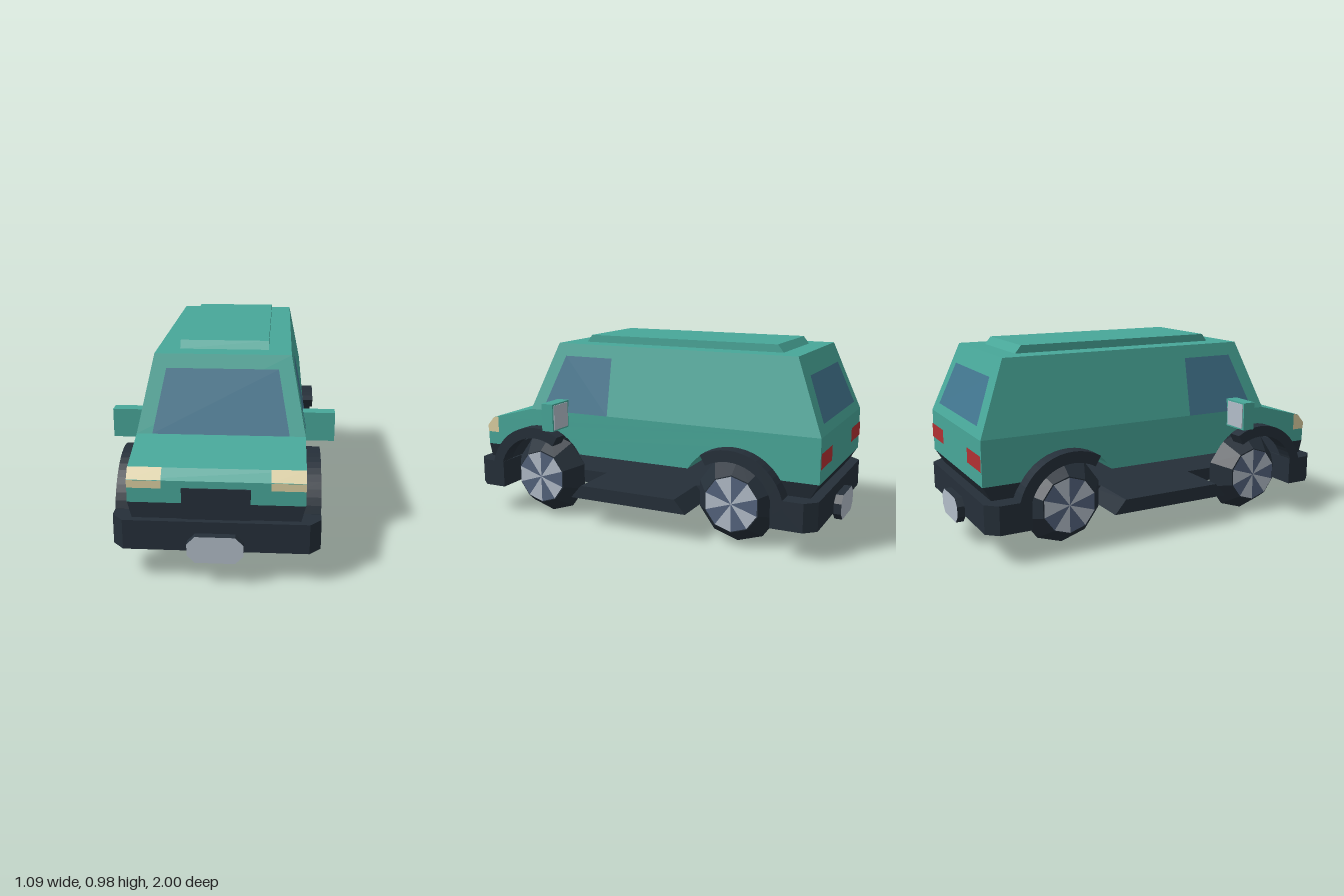
import * as THREE from 'three';

const mat = (name, color) => Object.assign(new THREE.MeshStandardMaterial({ color }), { name });

export function createModel() {
  const paint = mat('teal paint', 0x48a799);
  const dark = mat('dark plastic', 0x252f39);
  const glass = mat('window glass', 0x42768f);
  const silver = mat('silver', 0xb2bcc8);
  const slate = mat('slate hub', 0x54637d);
  const lamp = mat('headlamp cream', 0xdccfa2);
  const red = mat('tail lamp red', 0xb23032);

  const van = new THREE.Group();
  van.name = 'van';
  const add = (name, geo, material) => {
    const mesh = new THREE.Mesh(geo, material);
    mesh.name = name;
    van.add(mesh);
    return mesh;
  };
  const box = (name, m, x0, x1, y0, y1, z0, z1) =>
    add(name, new THREE.BoxGeometry(x1 - x0, y1 - y0, z1 - z0)
      .translate((x0 + x1) / 2, (y0 + y1) / 2, (z0 + z1) / 2), m);
  const poly = (pts) => new THREE.Shape(pts.map(([a, b]) => new THREE.Vector2(a, b)));

  // Side profile in (z, y), extruded across x
  const across = (shape, x0, x1) =>
    new THREE.ExtrudeGeometry(shape, { depth: x1 - x0, bevelEnabled: false, curveSegments: 8 })
      .rotateY(-Math.PI / 2).translate(x1, 0, 0);

  // Narrow a geometry so its half width follows a rule of height
  const taper = (geo, halfWidth) => {
    const p = geo.attributes.position;
    for (let i = 0; i < p.count; i++) p.setX(i, Math.sign(p.getX(i)) * halfWidth(p.getY(i)));
    geo.computeVertexNormals();
    return geo;
  };

  // Flat convex panel lifted slightly off the body, facing outward
  const panel = (name, m, points) => {
    const v = points.map((p) => new THREE.Vector3(...p));
    const n = new THREE.Vector3().crossVectors(v[1].clone().sub(v[0]), v[2].clone().sub(v[0])).normalize();
    if (n.dot(v[0].clone().sub(new THREE.Vector3(0, 0.5, 0))) < 0) { v.reverse(); n.negate(); }
    v.forEach((p) => p.addScaledVector(n, 0.004));
    const tri = [];
    for (let i = 1; i < v.length - 1; i++) tri.push(v[0], v[i], v[i + 1]);
    const geo = new THREE.BufferGeometry().setFromPoints(tri);
    geo.computeVertexNormals();
    add(name, geo, m);
  };

  const FRONT = 0.575, REAR = -0.53, AXLE = 0.22, ARCH = 0.28, BELT = 0.588, ROOF = 0.945;

  // Lower body with wheel arches cut through
  const a = Math.asin((0.367 - AXLE) / ARCH);
  const lower = poly([[0.93, 0.367], [0.93, 0.473], [0.89, 0.52], [0.635, BELT], [-0.957, BELT], [-0.957, 0.367]]);
  for (const z of [REAR, FRONT]) {
    lower.lineTo(z - ARCH * Math.cos(a), 0.367);
    lower.absarc(z, AXLE, ARCH, Math.PI - a, a, true);
  }
  add('lowerBody', across(lower, -0.4, 0.4), paint);

  // Cabin leaning in toward the roof
  const cabinHalf = (y) => 0.4 - 0.072 * (y - BELT) / (ROOF - BELT);
  add('cabin', taper(across(poly([[0.635, BELT], [0.49, ROOF], [-0.815, ROOF], [-0.957, BELT]]), -0.4, 0.4), cabinHalf), paint);
  add('roofPanel', across(poly([[0.385, ROOF], [0.355, 0.983], [-0.68, 0.983], [-0.71, ROOF]]), -0.217, 0.217), paint);
  panel('bodyFloor', glass, [[-0.39, 0.367, 0.33], [0.39, 0.367, 0.33], [0.39, 0.367, -0.29], [-0.39, 0.367, -0.29]]);

  // Windows
  const frontZ = (y) => 0.635 - 0.145 * (y - BELT) / (ROOF - BELT);
  const rearZ = (y) => -0.957 + 0.142 * (y - BELT) / (ROOF - BELT);
  const endWindow = (name, y0, y1, w0, w1, zAt) =>
    panel(name, glass, [[-w0, y0, zAt(y0)], [w0, y0, zAt(y0)], [w1, y1, zAt(y1)], [-w1, y1, zAt(y1)]]);
  endWindow('windshield', BELT, 0.88, 0.325, 0.268, frontZ);
  endWindow('rearWindow', 0.635, 0.85, 0.31, 0.262, rearZ);

  for (const s of [1, -1]) {
    const side = s > 0 ? 'left' : 'right';
    panel(side + 'Window', glass, [[0.56, BELT], [0.44, 0.88], [0.165, 0.88], [0.165, BELT]]
      .map(([z, y]) => [s * cabinHalf(y), y, z]));

    // Lamps: front lamps wrap over the nose edge and round the corner
    const band = (name, m, x0, lo, hi) =>
      panel(name, m, [[s * x0, lo[1], lo[0]], [s * 0.4, lo[1], lo[0]], [s * 0.4, hi[1], hi[0]], [s * x0, hi[1], hi[0]]]);
    band(side + 'HeadlampFace', lamp, 0.245, [0.93, 0.437], [0.93, 0.473]);
    band(side + 'HeadlampTop', lamp, 0.245, [0.93, 0.473], [0.89, 0.52]);
    panel(side + 'HeadlampSide', lamp, [[0.93, 0.437], [0.93, 0.473], [0.89, 0.52], [0.86, 0.527], [0.86, 0.437]]
      .map(([z, y]) => [s * 0.4, y, z]));
    band(side + 'TailLamp', red, 0.2, [-0.957, 0.44], [-0.957, 0.515]);

    // Door mirror with silver glass facing back
    const [m0, m1] = [0.39 * s, 0.545 * s].sort((p, q) => p - q);
    box(side + 'Mirror', paint, m0, m1, 0.512, 0.655, 0.402, 0.468);
    const e0 = Math.min(0.41 * s, 0.535 * s), e1 = Math.max(0.41 * s, 0.535 * s);
    box(side + 'MirrorGlass', silver, e0, e1, 0.52, 0.647, 0.398, 0.402);

    // Wheels and arch flares
    for (const [end, z, dir] of [['Front', FRONT, 1], ['Rear', REAR, -1]]) {
      const tire = new THREE.LatheGeometry(
        [[0, -0.105], [0.145, -0.105], [0.22, 0], [0.145, 0.105], [0, 0.105]].map(([r, h]) => new THREE.Vector2(r, h)),
        10, Math.PI / 2).rotateZ(Math.PI / 2).toNonIndexed();
      tire.computeVertexNormals();
      add(side + end + 'Tire', tire, dark).position.set(s * 0.31, AXLE, z);

      for (const f of [1, -1]) {
        const hub = new THREE.CircleGeometry(0.14, 10, Math.PI / 2).rotateY(f * Math.PI / 2);
        hub.clearGroups();
        for (let i = 0; i < 10; i++) hub.addGroup(i * 3, 3, i % 2);
        add(side + end + 'Hub', hub, [silver, slate]).position.set(s * 0.31 + f * 0.108, AXLE, z);
      }

      const flare = new THREE.Shape();
      const [t0, t1] = dir > 0 ? [0, Math.PI * 0.67] : [Math.PI, Math.PI * 0.33];
      flare.absarc(z, AXLE, ARCH + 0.002, t0, t1, dir < 0);
      flare.absarc(z, AXLE, 0.225, t1, t0, dir > 0);
      add(side + end + 'Flare', s > 0 ? across(flare, 0.385, 0.472) : across(flare, -0.472, -0.385), dark);
    }
  }

  // Bumpers with cut corners, skirts above them, and number plates
  for (const [end, dir, inner, face, skirtIn] of [['front', 1, 0.785, 0.962, 0.795], ['rear', -1, 0.745, 0.962, 0.755]]) {
    const outline = poly([[-0.472, inner], [0.472, inner], [0.472, 0.905], [0.42, face], [-0.42, face], [-0.472, 0.905]]
      .map(([x, z]) => [x, -dir * z]));
    add(end + 'Bumper', new THREE.ExtrudeGeometry(outline, { depth: 0.142, bevelEnabled: false })
      .rotateX(-Math.PI / 2).translate(0, 0.15, 0), dark);

    const [top, low] = dir > 0 ? [0.929, 0.929] : [0.955, 0.91];
    add(end + 'Skirt', taper(across(poly([[dir * skirtIn, 0.29], [dir * low, 0.29], [dir * top, 0.367], [dir * skirtIn, 0.367]]), -0.4, 0.4),
      (y) => (y > 0.33 ? 0.4 : 0.38)), dark);

    const plate = poly([[-0.127, 0.147], [-0.09, 0.11], [0.09, 0.11], [0.127, 0.147],
      [0.127, 0.2], [0.09, 0.237], [-0.09, 0.237], [-0.127, 0.2]]);
    add(end + 'Plate', new THREE.ExtrudeGeometry(plate, { depth: 0.04, bevelEnabled: false })
      .translate(0, 0, dir > 0 ? 0.96 : -1), [silver, dark]);
  }
  box('grille', dark, -0.155, 0.155, 0.285, 0.44, 0.9, 0.936);

  // Underside: spine between the wheels and wide sills
  box('chassis', dark, -0.2, 0.2, 0.15, 0.22, -0.76, 0.8);
  add('sills', across(poly([[0.35, 0.15], [0.29, 0.22], [-0.25, 0.22], [-0.31, 0.15]]), -0.472, 0.472), dark);

  return van;
}
